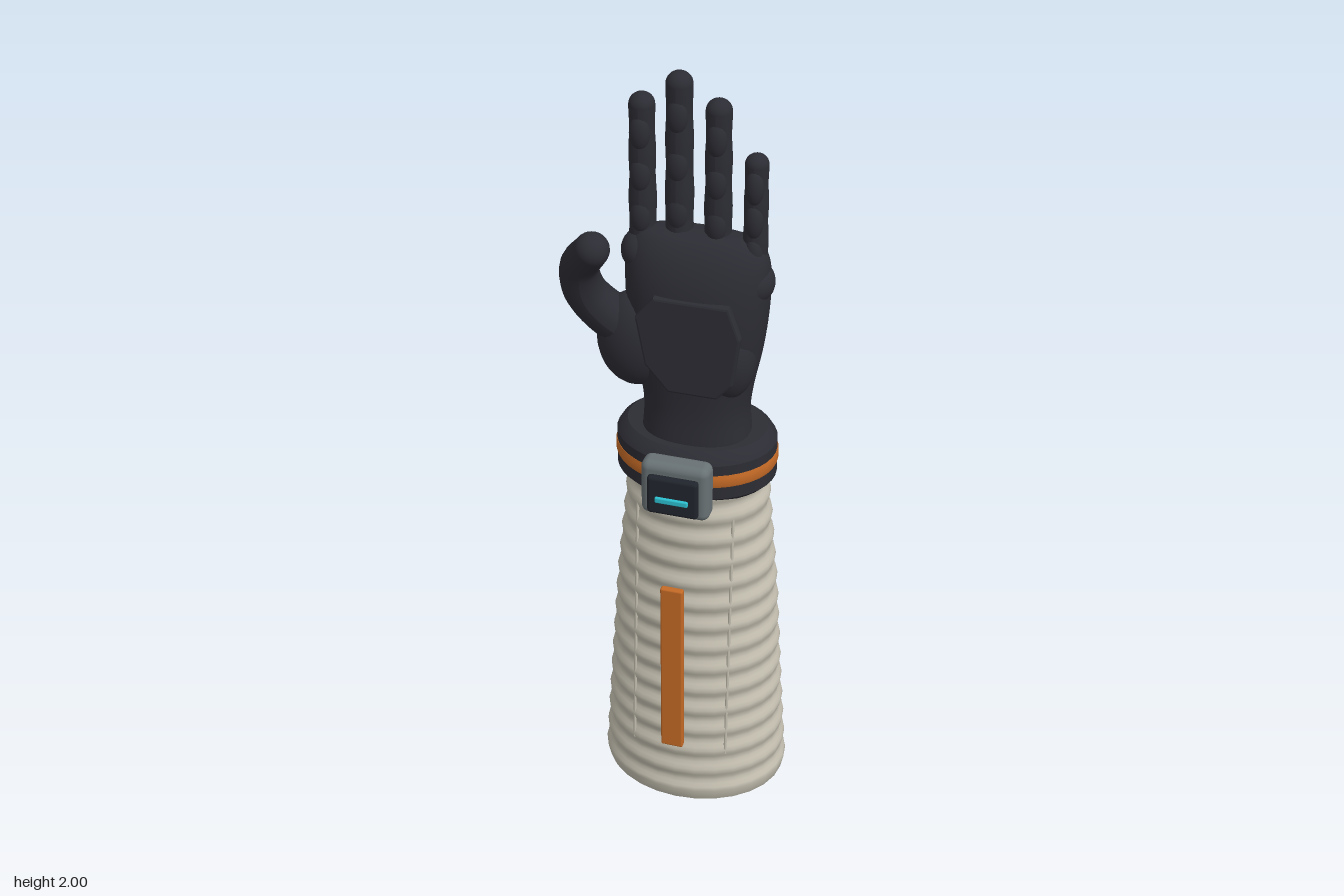
import * as THREE from 'three';
import { toCreasedNormals } from 'three/addons/utils/BufferGeometryUtils.js';
import { RoundedBoxGeometry } from 'three/addons/geometries/RoundedBoxGeometry.js';

const material = (name, color) => {
  const m = new THREE.MeshStandardMaterial({ color });
  m.name = name;
  return m;
};

// Closed loft through horizontal superellipse rows: [y, centreX, radiusX, centreZ, radiusZ]
function loft(rows, sides = 32, power = 2) {
  const pos = [], idx = [];
  const bend = (v) => Math.sign(v) * Math.abs(v) ** (2 / power);
  for (const [y, cx, rx, cz, rz] of rows) {
    for (let j = 0; j < sides; j++) {
      const a = (j / sides) * Math.PI * 2;
      pos.push(cx + rx * bend(Math.cos(a)), y, cz + rz * bend(Math.sin(a)));
    }
  }
  const last = (rows.length - 1) * sides, low = rows.length * sides, high = low + 1;
  for (const [y, cx, , cz] of [rows[0], rows[rows.length - 1]]) pos.push(cx, y, cz);
  for (let j = 0; j < sides; j++) {
    const k = (j + 1) % sides;
    for (let i = 0; i < last; i += sides) {
      idx.push(i + j, i + sides + j, i + k, i + k, i + sides + j, i + sides + k);
    }
    idx.push(low, j, k, high, last + k, last + j);
  }
  const g = new THREE.BufferGeometry();
  g.setAttribute('position', new THREE.Float32BufferAttribute(pos, 3));
  g.setIndex(idx);
  g.computeVertexNormals();
  return g;
}

// Interpolates a row table at height y
function rowAt(rows, y) {
  let i = 0;
  while (i < rows.length - 2 && rows[i + 1][0] < y) i++;
  const t = (y - rows[i][0]) / (rows[i + 1][0] - rows[i][0]);
  return rows[i].map((v, k) => v + (rows[i + 1][k] - v) * t);
}

// Tube whose radius follows radiusAt(t)
function taperedTube(curve, radiusAt, steps = 28, sides = 16) {
  const g = new THREE.TubeGeometry(curve, steps, 1, sides);
  const p = g.attributes.position, v = new THREE.Vector3();
  for (let i = 0; i <= steps; i++) {
    const c = curve.getPointAt(i / steps), r = radiusAt(i / steps);
    for (let j = 0; j <= sides; j++) {
      const n = i * (sides + 1) + j;
      v.fromBufferAttribute(p, n).sub(c).multiplyScalar(r).add(c);
      p.setXYZ(n, v.x, v.y, v.z);
    }
  }
  g.computeVertexNormals();
  return g;
}

export function createModel() {
  const model = new THREE.Group();
  model.name = 'glovedForearm';
  const cloth = material('sleeveCloth', 0xc4bfb0);
  const glove = material('gloveCharcoal', 0x2c2c34);
  const orange = material('orangeTrim', 0xc46a26);
  const metal = material('deviceGrey', 0x687174);
  const screen = material('screenDark', 0x20242c);
  const cyan = material('displayCyan', 0x2cc0d0);

  const add = (name, geometry, mat, at = [0, 0, 0], parent = model) => {
    const mesh = new THREE.Mesh(geometry, mat);
    mesh.name = name;
    mesh.position.set(...at);
    parent.add(mesh);
    return mesh;
  };
  const ball = (name, at, scale, parent = model) =>
    add(name, new THREE.SphereGeometry(1, 24, 16), glove, at, parent).scale.set(...scale);

  // Sleeve with shallow horizontal folds
  const sleeveRows = [
    [0.04, 0.03, 0.238, -0.018, 0.196], [0.3, 0.03, 0.222, -0.018, 0.182],
    [0.6, 0.032, 0.204, -0.018, 0.164], [0.95, 0.034, 0.172, -0.018, 0.15],
  ];
  const folds = [[0, 0.03, 0.224, -0.018, 0.184], [0.008, 0.03, 0.236, -0.018, 0.194]];
  for (let i = 0; i <= 90; i++) {
    const [y, cx, rx, cz, rz] = rowAt(sleeveRows, 0.04 + (i / 90) * 0.91);
    const f = 0.005 * Math.cos(((y - 0.04) / 0.065) * Math.PI * 2);
    folds.push([y, cx, rx + f, cz, rz + f]);
  }
  add('sleeve', loft(folds, 28), cloth);

  // Fine front seams lying almost flush with the cloth
  for (const [name, x] of [['rightSeam', -0.09], ['leftSeam', 0.155]]) {
    const points = [];
    for (let y = 0.16; y < 0.94; y += 0.06) {
      const [, cx, rx, cz, rz] = rowAt(sleeveRows, y);
      points.push(new THREE.Vector3(x, y, cz + rz * Math.sqrt(1 - ((x - cx) / rx) ** 2)));
    }
    add(name, new THREE.TubeGeometry(new THREE.CatmullRomCurve3(points), 40, 0.004, 6), cloth);
  }
  add('sleeveStripe', new RoundedBoxGeometry(0.058, 0.505, 0.018, 2, 0.005), orange, [0.029, 0.458, 0.195]);

  // Cuff: two dark rings around an orange band
  const ring = (name, profile, mat) => add(name, toCreasedNormals(
    loft(profile.map(([y, inset]) => [y, 0.03, 0.2 - inset, -0.018, 0.158 - inset]), 40), 0.5), mat);
  ring('lowerCuff', [[0.935, 0.014], [0.95, 0], [0.984, 0]], glove);
  ring('cuffBand', [[0.984, -0.001], [0.99, -0.003], [1.012, -0.003], [1.018, -0.001]], orange);
  ring('upperCuff', [[1.018, 0], [1.045, 0], [1.062, 0.01], [1.074, 0.026]], glove);

  // Wrist device
  add('deviceCase', new RoundedBoxGeometry(0.171, 0.15, 0.06, 4, 0.02), metal, [0.032, 0.995, 0.16]);
  add('deviceScreen', new RoundedBoxGeometry(0.127, 0.105, 0.022, 3, 0.009), screen, [0.033, 0.992, 0.199]);
  add('displayBar', new RoundedBoxGeometry(0.083, 0.016, 0.009, 2, 0.004), cyan, [0.033, 0.985, 0.213]);

  // Hand body
  const hand = new THREE.Group();
  hand.name = 'hand';
  model.add(hand);
  const palmCurve = new THREE.CatmullRomCurve3([[1.06, 0.135, 0.102], [1.14, 0.13, 0.097],
    [1.2, 0.137, 0.099], [1.3, 0.157, 0.108], [1.4, 0.17, 0.112], [1.5, 0.175, 0.1],
    [1.56, 0.168, 0.078], [1.595, 0.145, 0.052], [1.61, 0.1, 0.025]]
    .map(([y, rx, rz]) => new THREE.Vector3(rx, y, rz)));
  const palmRows = palmCurve.getPoints(40).map((p) => [p.y, 0.034, p.x, -0.006, p.z]);
  add('palm', loft(palmRows, 40, 2.3), glove, [0, 0, 0], hand);
  ball('thumbMound', [-0.11, 1.315, 0.03], [0.095, 0.125, 0.07], hand);
  ball('heelMound', [0.12, 1.3, 0.03], [0.068, 0.11, 0.07], hand);

  // Octagonal palm pad
  const pad = new THREE.Shape([[-0.045, -0.125], [0.07, -0.125], [0.105, -0.085], [0.122, 0.04],
    [0.095, 0.115], [-0.08, 0.115], [-0.122, 0.06], [-0.1, -0.06]]
    .map(([x, y]) => new THREE.Vector2(x, y)));
  add('palmPad', new THREE.ExtrudeGeometry(pad, {
    depth: 0.012, bevelSize: 0.006, bevelThickness: 0.006, bevelSegments: 2,
  }), glove, [0.04, 1.355, 0.09], hand);

  // Fingers: [name, x, tip height, radius, knuckle height]
  const fingers = [
    ['index', -0.102, 1.937, 0.033, 1.555], ['middle', -0.013, 2, 0.034, 1.565],
    ['ring', 0.08, 1.945, 0.033, 1.555], ['little', 0.17, 1.822, 0.03, 1.51],
  ];
  for (const [name, x, top, r, base] of fingers) {
    const finger = new THREE.Group();
    finger.name = name + 'Finger';
    hand.add(finger);
    const end = top - r * 0.88, z = -0.012;
    const line = new THREE.LineCurve3(new THREE.Vector3(x, base, z), new THREE.Vector3(x, end, z));
    add('shaft', taperedTube(line, (t) => r * (1 - 0.1 * t + 0.03 * Math.cos(t * Math.PI * 6)), 36, 20), glove, [0, 0, 0], finger);
    ball('tip', [x, end, z], [r * 0.93, r * 0.88, r * 0.93], finger);
    ball('knuckle', [x, base - 0.015, -0.004], [0.05, 0.052, 0.056], finger);
    for (const t of [0.22, 0.52, 0.82]) {
      ball('fingerPad', [x, base + (end - base) * t, 0.007], [r * 0.75, 0.045, 0.02], finger);
    }
  }

  // Thumb curling forward
  const thumb = new THREE.Group();
  thumb.name = 'thumb';
  hand.add(thumb);
  const path = new THREE.CatmullRomCurve3([[-0.11, 1.33, 0.02], [-0.18, 1.385, 0.045],
    [-0.221, 1.45, 0.07], [-0.222, 1.53, 0.1], [-0.178, 1.6, 0.138]]
    .map((p) => new THREE.Vector3(...p)));
  add('shaft', taperedTube(path, (t) => 0.06 - 0.018 * t, 32, 20), glove, [0, 0, 0], thumb);
  ball('tip', [-0.178, 1.6, 0.138], [0.042, 0.042, 0.042], thumb);
  return model;
}
